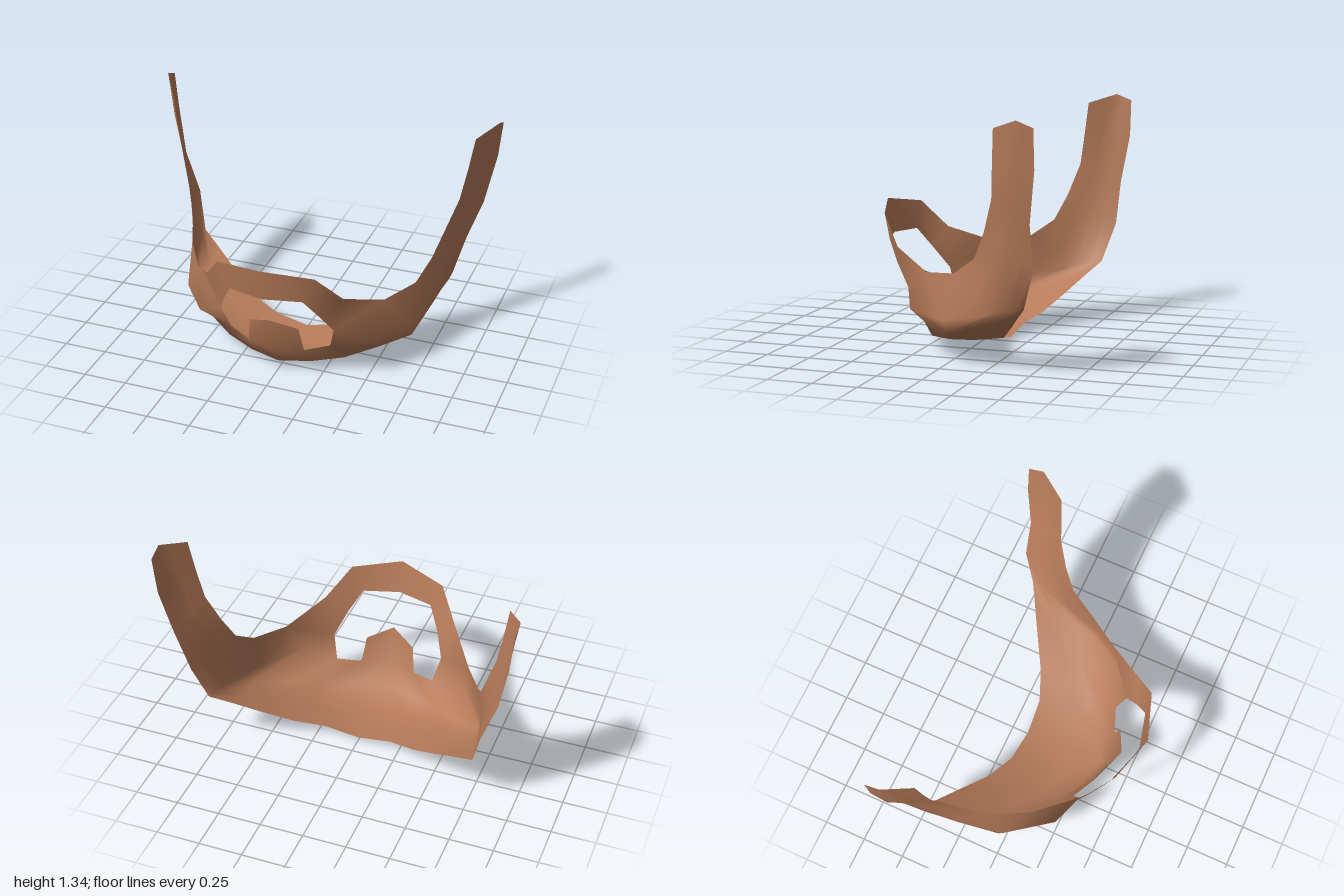
import * as THREE from 'three';
import { mergeVertices } from 'three/addons/utils/BufferGeometryUtils.js';

// Jaw cross-sections from the middle outwards (+x half), each running from the
// upper edge over the jaw line and under the chin to the rear edge
const jawSections = [
  [[0, .405, .45], [0, .18, .39], [0, .065, .32], [0, .02, .13], [0, .005, 0], [0, .025, -.15]],
  [[.145, .34, .38], [.165, .185, .345], [.18, .07, .27], [.2, .042, .13], [.2, .042, 0], [.2, .065, -.165]],
  [[.335, .345, .335], [.3, .21, .285], [.35, .085, .19], [.36, .075, .08], [.36, .08, -.05], [.37, .11, -.235]],
  [[.56, .48, .14], [.5, .26, .26], [.52, .13, .08], [.53, .14, -.05], [.52, .155, -.18], [.53, .205, -.33]],
  [[.68, .505, -.06], [.685, .25, .01], [.68, .185, -.02], [.68, .205, -.12], [.665, .24, -.27], [.66, .285, -.405]],
  [[.73, .6, -.19], [.75, .42, -.23], [.745, .3, -.25], [.76, .33, -.33], [.775, .345, -.42], [.78, .355, -.475]],
];

// Sideburn sections: front edge, middle, back edge
const sideburnSections = [
  [[.78, .75, -.26], [.83, .66, -.42], [.84, .58, -.545]],
  [[.84, .93, -.32], [.9, .87, -.45], [.925, .82, -.55]],
  [[.875, 1.11, -.335], [.955, 1.1, -.47], [.98, 1.1, -.59]],
  [[.905, 1.295, -.35], [1, 1.345, -.5], [1, 1.31, -.59]],
];

// Moustache band: upper edge and mouth edge, from the middle to the cheek
const moustacheSections = [
  [[0, .79, .59], [0, .595, .55]],
  [[.28, .745, .495], [.21, .59, .495]],
  [[.4, .58, .37], [.28, .47, .42]],
  [[.56, .48, .14], [.335, .345, .335]],
];

const lerp = (a, b, t) => a.map((v, i) => v + (b[i] - v) * t);

// Give a three-point section the same six rows as the jaw
function sixRows([front, mid, back]) {
  return [0, 1, 2, 3, 4, 5].map((j) =>
    j <= 3 ? lerp(front, mid, j / 3) : lerp(mid, back, (j - 3) / 2));
}

// Join neighbouring sections with triangles on both halves
function skin(sections, out, isOpen = () => false) {
  const mirror = ([x, y, z]) => [x === 0 ? 0 : -x, y, z];
  for (let i = 0; i < sections.length - 1; i++) {
    for (let j = 0; j < sections[i].length - 1; j++) {
      if (isOpen(i, j)) continue;
      const a = sections[i][j], b = sections[i][j + 1];
      const c = sections[i + 1][j + 1], d = sections[i + 1][j];
      for (const tri of [[a, b, c], [a, c, d]]) {
        out.push(...tri.flat());
        out.push(...tri.map(mirror).reverse().flat());
      }
    }
  }
}

export function createModel() {
  const group = new THREE.Group();
  group.name = 'facialHair';

  const positions = [];
  // The mouth opening reaches down beside the tuft below the lip
  skin([...jawSections, ...sideburnSections.map(sixRows)], positions, (i, j) => i === 1 && j === 0);
  skin(moustacheSections, positions);

  // Weld all the strips into one smooth sheet
  let geometry = new THREE.BufferGeometry();
  geometry.setAttribute('position', new THREE.Float32BufferAttribute(positions, 3));
  geometry = mergeVertices(geometry, 1e-4);
  geometry.computeVertexNormals();

  const hairBrown = new THREE.MeshStandardMaterial({ color: 0xb87c5a, side: THREE.DoubleSide });
  hairBrown.name = 'hairBrown';

  const beard = new THREE.Mesh(geometry, hairBrown);
  beard.name = 'beard';
  group.add(beard);
  return group;
}
